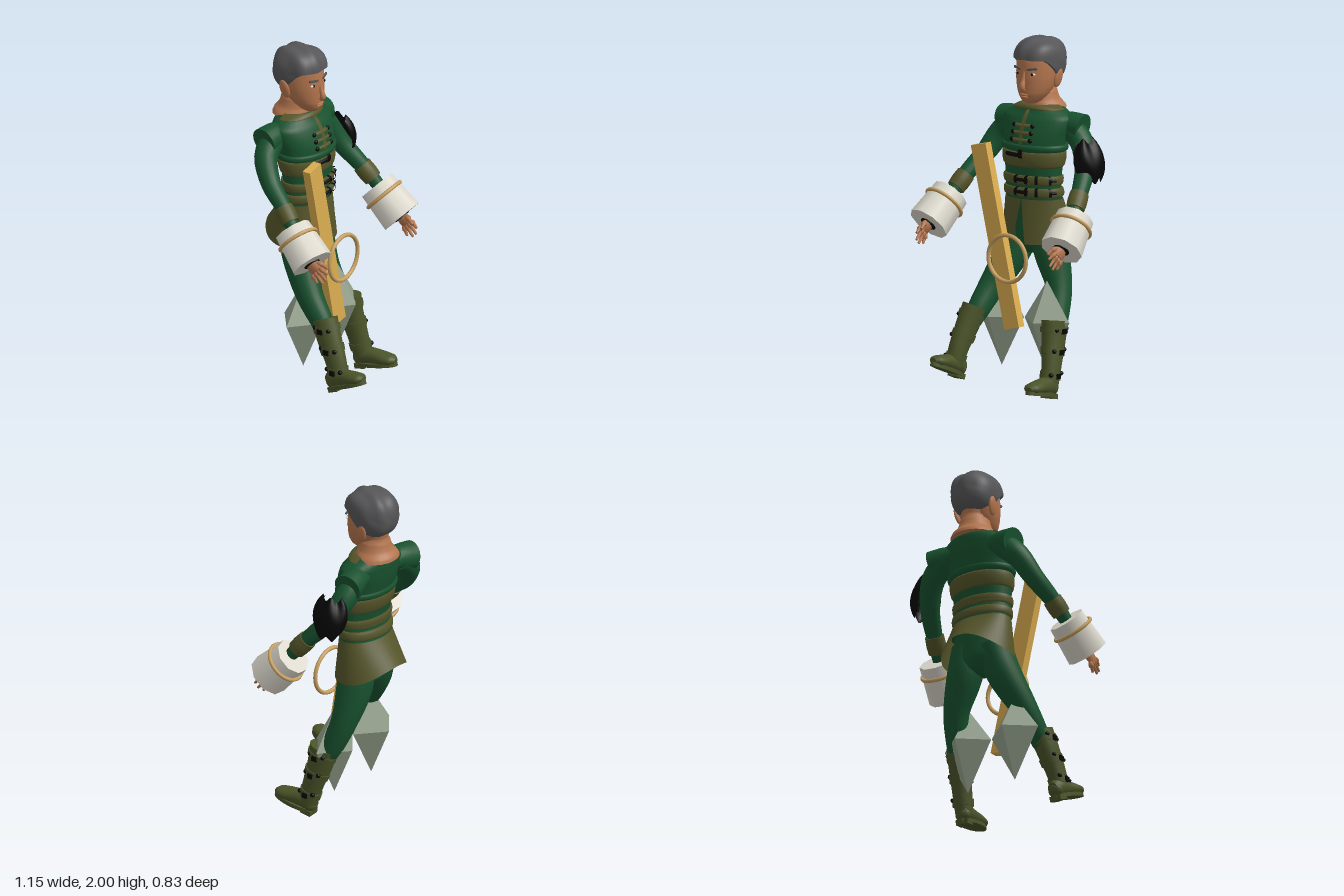
import * as THREE from 'three';
import { ParametricGeometry } from 'three/addons/geometries/ParametricGeometry.js';

const V = (x, y, z) => new THREE.Vector3(x, y, z);
const mat = (name, color, extra = {}) => Object.assign(new THREE.MeshStandardMaterial({ color, ...extra }), { name });
const two = { side: THREE.DoubleSide };

// Smooth tube through sections [x, y, z, rx, rz]; flat keeps the rings level.
function loft(secs, { n = 20, flat = false } = {}) {
  const P = new THREE.CatmullRomCurve3(secs.map(s => V(s[0], s[1], s[2])));
  const R = new THREE.CatmullRomCurve3(secs.map(s => V(s[3], s[4] ?? s[3], 0)));
  const steps = (secs.length - 1) * 4, pos = [], idx = [];
  for (let i = 0; i <= steps; i++) {
    const c = P.getPoint(i / steps), r = R.getPoint(i / steps);
    const t = flat ? V(0, 1, 0) : P.getTangent(i / steps);
    const u = V(1, 0, 0).addScaledVector(t, -t.x).normalize(), v = t.clone().cross(u);
    for (let j = 0; j < n; j++) {
      const a = (j / n) * Math.PI * 2;
      const p = c.clone().addScaledVector(u, Math.cos(a) * r.x).addScaledVector(v, Math.sin(a) * r.y);
      pos.push(p.x, p.y, p.z);
      if (i < steps) {
        const k = (j + 1) % n, A = i * n + j, B = i * n + k;
        idx.push(A, B, A + n, B, B + n, A + n);
      }
    }
  }
  // End caps with their own rim so the edge stays sharp.
  for (const end of [0, steps]) {
    const c = P.getPoint(end / steps), base = pos.length / 3;
    pos.push(c.x, c.y, c.z);
    for (let j = 0; j < n; j++) pos.push(...pos.slice((end * n + j) * 3, (end * n + j) * 3 + 3));
    for (let j = 0; j < n; j++) {
      const a = base + 1 + j, b = base + 1 + ((j + 1) % n);
      end ? idx.push(base, a, b) : idx.push(base, b, a);
    }
  }
  const g = new THREE.BufferGeometry();
  g.setAttribute('position', new THREE.Float32BufferAttribute(pos, 3));
  g.setIndex(idx);
  g.computeVertexNormals();
  return g;
}

// Level section from front z, back z and half width
const level = ([y, zf, zb, rx]) => [0.004, y, (zf + zb) / 2, rx, (zf - zb) / 2];

const TORSO = [[1.02, -.08, -.33, .18], [1.1, -.075, -.31, .178], [1.2, -.075, -.295, .178], [1.3, -.07, -.31, .185],
  [1.42, -.065, -.335, .2], [1.5, -.085, -.35, .22], [1.555, -.11, -.355, .225], [1.59, -.135, -.355, .18], [1.625, -.15, -.345, .11]];

function torsoAt(y) {
  let i = 0;
  while (i < TORSO.length - 2 && TORSO[i + 1][0] < y) i++;
  const a = TORSO[i], b = TORSO[i + 1], k = (y - a[0]) / (b[0] - a[0]);
  return level(a.map((q, m) => q + (b[m] - q) * k));
}

// Raised strip hugging the torso between two heights and two angles (0 = front)
const band = (y0, y1, a0, a1, off) => new ParametricGeometry((u, v, p) => {
  const y = y0 + (y1 - y0) * v, a = a0 + (a1 - a0) * u, s = torsoAt(y);
  const o = off * Math.pow(Math.max(0, Math.sin(Math.PI * v)), 0.35);
  p.set(s[0] + Math.sin(a) * (s[3] + o), y, s[2] + Math.cos(a) * (s[4] + o));
}, Math.max(4, Math.ceil((a1 - a0) * 8)), 8);

export function createModel() {
  const green = mat('green cloth', 0x18522f), olive = mat('olive leather', 0x55552a, two), boot = mat('boot leather', 0x4a5429);
  const skin = mat('skin', 0xb4754e), hair = mat('grey hair', 0x565658), black = mat('black', 0x060606, two);
  const white = mat('off white', 0xdedace), wood = mat('golden wood', 0xdcae52), tan = mat('tan ring', 0xc8a060), stone = mat('grey green stone', 0x94a08c, { flatShading: true });
  const root = new THREE.Group();
  const add = (name, geo, m, parent = root, x = 0, y = 0, z = 0) => {
    const o = new THREE.Mesh(geo, m);
    o.name = name;
    o.position.set(x, y, z);
    parent.add(o);
    return o;
  };
  const ball = (name, m, x, y, z, sx, sy, sz, parent = root) => {
    const o = add(name, new THREE.SphereGeometry(1, 14, 10), m, parent, x, y, z);
    o.scale.set(sx, sy, sz);
    return o;
  };
  const box = (name, m, x, y, z, w, h, d, parent = root) => add(name, new THREE.BoxGeometry(w, h, d), m, parent, x, y, z);

  // Torso, belts and collar
  add('torso', loft(TORSO.map(level), { n: 32, flat: true }), green);
  [[1.28, 1.37], [1.18, 1.235], [1.11, 1.165]].forEach(([a, b]) => add('belt', band(a, b, -Math.PI, Math.PI, .012), olive));
  add('jacketHem', band(1.37, 1.41, -Math.PI, Math.PI, .014), green);
  add('collar', band(1.598, 1.627, -1.7, 1.7, .012), olive);
  add('placket', band(1.4, 1.6, -.06, .06, .008), olive);
  for (const y of [1.435, 1.475, 1.515]) {
    add('clasp', band(y - .01, y + .01, -.32, .32, .01), olive);
    const s = torsoAt(y);
    for (const x of [-.06, .066]) ball('stud', black, x, y, s[2] + s[4] * .96 + .004, .014, .013, .01);
  }
  for (const y of [1.21, 1.14]) {
    add('beltStrap', band(y - .012, y + .012, -.2, .28, .022), black);
    for (const a of [-.2, .16, .5, .98]) add('buckle', band(y - .026, y + .026, a, a + .1, .024), black);
    add('beltTip', band(y - .01, y + .01, .98, 1.3, .02), black);
  }
  add('chestBuckle', band(1.335, 1.362, -.55, .1, .02), black);
  add('chestBuckle', band(1.328, 1.388, -.02, .12, .026), black);

  // Flared tunic skirt, split at the front
  add('skirt', new ParametricGeometry((u, v, p) => {
    const d = 1 - v, gap = .01 + .2 * d, a = gap + u * (2 * Math.PI - 2 * gap);
    const low = .85 + .1 * Math.pow((1 - Math.cos(a)) / 2, 4);
    p.set(.004 + Math.sin(a) * (.182 + .035 * d), 1.1 + (low - 1.1) * d, -.192 - .038 * d + Math.cos(a) * (.12 + .07 * d));
  }, 40, 8), olive);
  add('hips', loft([[.785, -.15, -.23, .03], [.81, -.11, -.28, .09], [.87, -.085, -.31, .16], [1.06, -.085, -.31, .172]].map(level), { flat: true }), green);

  // Neck and head
  add('neck', loft([[1.6, -.165, -.395, .135], [1.62, -.16, -.39, .125], [1.65, -.165, -.365, .1], [1.7, -.17, -.35, .085], [1.77, -.17, -.35, .085]].map(level), { flat: true }), skin);
  add('head', loft([[1.635, -.128, -.22, .035], [1.655, -.106, -.26, .06], [1.69, -.095, -.29, .086], [1.73, -.093, -.32, .103], [1.78, -.092, -.35, .114],
    [1.83, -.095, -.37, .118], [1.88, -.1, -.38, .118], [1.93, -.13, -.37, .1], [1.965, -.19, -.31, .045]].map(level), { n: 28, flat: true }), skin);
  add('nose', loft([[.004, 1.825, -.104, .01], [.004, 1.775, -.092, .012], [.004, 1.732, -.08, .018, .017], [.004, 1.712, -.092, .012]], { n: 12 }), skin);
  ball('upperLip', skin, .004, 1.688, -.097, .03, .007, .01);
  ball('lowerLip', skin, .004, 1.675, -.1, .026, .008, .01);
  for (const s of [-1, 1]) {
    const x = .004 + s * .05;
    ball('eye', white, x, 1.806, -.113, .02, .008, .01);
    ball('pupil', black, x, 1.806, -.106, .008, .008, .005);
    box('eyebrow', hair, x, 1.836, -.106, .06, .012, .009).rotation.set(0, s * .3, s * .12);
    ball('ear', skin, .004 + s * .117, 1.775, -.26, .014, .056, .032).rotation.set(-.2, 0, -s * .15);
  }

  // Wavy swept hair, cut along a hairline that drops toward the back
  const hairGeo = new THREE.SphereGeometry(1, 48, 32), hp = hairGeo.attributes.position;
  for (let i = 0; i < hp.count; i++) {
    const q = V().fromBufferAttribute(hp, i);
    const boxy = Math.pow(Math.abs(q.x) ** 2.5 + Math.abs(q.y) ** 2.5 + Math.abs(q.z) ** 2.5, -1 / 2.5);
    const k = boxy * (1 + .03 * Math.sin(q.x * 9 + q.z * 4) * (q.y > 0 ? 1 : .3));
    const z = -.243 + q.z * .152 * k;
    const line = 1.745 + .14 * THREE.MathUtils.smoothstep(z, -.32, -.13);
    hp.setXYZ(i, .006 + q.x * .129 * k, Math.min(2, Math.max(line, 1.865 + q.y * .135 * k)), z);
  }
  hairGeo.computeVertexNormals();
  add('hair', hairGeo, hair);

  // Arms, cuffs and the drum shaped gauntlets with hands
  const arms = [
    { s: 1, path: [[.19, 1.51, -.275, .072], [.285, 1.42, -.265, .067], [.35, 1.29, -.205, .057], [.395, 1.17, -.1, .047], [.43, 1.04, .01, .036]], c: [.44, .97, .06], d: [.1, -.7, .7] },
    { s: -1, path: [[-.19, 1.51, -.275, .072], [-.288, 1.42, -.26, .067], [-.345, 1.3, -.185, .057], [-.385, 1.2, -.07, .047], [-.42, 1.08, .04, .036]], c: [-.44, 1.02, .1], d: [-.15, -.68, .72] },
  ];
  for (const { s, path, c, d } of arms) {
    add('arm', loft(path), green);
    add('shoulderCap', loft([[s * .13, 1.52, -.27, .06], [s * .2, 1.515, -.275, .074], [s * .275, 1.5, -.285, .082]]), green);
    const [w, e] = [path[3], path[4]], at = k => w.slice(0, 3).map((q, m) => q + (e[m] - q) * k);
    add('cuff', loft([[...at(.02), .054], [...at(.3), .056], [...at(.6), .052]]), olive);
    const g = new THREE.Group();
    g.name = 'gauntlet';
    g.position.set(...c);
    g.quaternion.setFromUnitVectors(V(0, -1, 0), V(...d).normalize());
    root.add(g);
    add('gauntletDrum', new THREE.CylinderGeometry(.107, .123, .225, 9), white, g);
    add('gauntletRing', new THREE.TorusGeometry(.114, .011, 8, 32), tan, g, 0, .045, 0).rotation.x = Math.PI / 2;
    add('gauntletOpening', new THREE.CylinderGeometry(.048, .048, .006, 16), black, g, 0, -.114, 0);
    add('palm', loft([[0, -.1, 0, .026, .034], [0, -.14, 0, .022, .04], [0, -.165, 0, .015, .036]], { n: 12 }), skin, g);
    for (let i = 0; i < 4; i++) {
      const z = -.03 + i * .02, l = i === 0 || i === 3 ? .215 : .24;
      add('finger', loft([[0, -.155, z, .01], [-s * .006, -.19, z * 1.4, .01], [-s * .014, -l, z * 1.6, .007]], { n: 8 }), skin, g);
    }
    add('thumb', loft([[0, -.12, .03, .011], [-s * .02, -.155, .05, .011], [-s * .03, -.185, .055, .008]], { n: 8 }), skin, g);
  }

  // Curved guard on the left upper arm
  add('armGuard', new ParametricGeometry((u, v, p) => {
    const a = (u - .5) * 3.5, k = Math.sqrt(Math.sin(Math.PI * (.1 + .8 * v)));
    p.set(.375 - .045 * v + .085 * k * Math.cos(a), 1.225 + .225 * v + .015 * Math.sin(a * 5), -.23 - .11 * k * Math.sin(a));
  }, 24, 10), black);

  // Legs and buckled boots
  const legs = [
    { s: 1, leg: [[.085, .95, -.2, .095, .11], [.115, .8, -.205, .098, .105], [.185, .6, -.185, .072, .076], [.22, .44, -.125, .06, .066], [.24, .34, -.075, .05]],
      shaft: [[.232, .43, -.082, .07, .09], [.242, .33, -.062, .062, .078], [.257, .2, -.025, .053, .064], [.265, .07, .01, .048, .056]], foot: [.265, .02, .03], pitch: -.18, yaw: .1 },
    { s: -1, leg: [[-.085, .95, -.2, .095, .11], [-.11, .8, -.16, .098, .105], [-.175, .6, -.045, .075, .08], [-.2, .46, .065, .06, .065], [-.21, .4, .1, .05]],
      shaft: [[-.203, .49, .085, .068, .076], [-.22, .39, .127, .062, .075], [-.236, .27, .185, .053, .064], [-.247, .165, .22, .047, .055]], foot: [-.247, .115, .22], pitch: -.38, yaw: -.06 },
  ];
  for (const { s, leg, shaft, foot, pitch, yaw } of legs) {
    add('leg', loft(leg, { n: 24 }), green);
    add('bootShaft', loft(shaft), boot);
    for (let i = 0; i < 3; i++) {
      const [a, b] = [shaft[i], shaft[i + 1]], mix = k => a.map((q, m) => q + (b[m] - q) * k);
      const lo = mix(.35), hi = mix(.65), mid = mix(.5), r = q => [q[0], q[1], q[2], q[3] + .006, q[4] + .006];
      add('bootStrap', loft([r(lo), r(mid), r(hi)]), boot);
      box('bootBuckle', black, mid[0] + s * (mid[3] + .006), mid[1], mid[2], .014, .028, .032);
      for (const z of [-.045, .045]) ball('bootStud', black, mid[0] + s * mid[3] * .78, mid[1] + .01, mid[2] + z, .014, .013, .014);
    }
    const g = new THREE.Group();
    g.name = 'foot';
    g.position.set(...foot);
    g.rotation.set(pitch, yaw, 0, 'YXZ');
    root.add(g);
    add('footUpper', loft([[0, .055, -.055, .034, .04], [0, .062, -.01, .048, .055], [0, .056, .06, .047, .048], [0, .045, .13, .053, .037], [0, .038, .175, .046, .029], [0, .032, .2, .02, .014]]), boot, g);
    add('sole', new THREE.CylinderGeometry(1, 1, .022, 24), boot, g, 0, .014, .07).scale.set(.052, 1, .135);
    box('heel', boot, 0, .005, -.025, .075, .03, .065, g);
    ball('heelCounter', boot, 0, .05, -.03, .046, .045, .04, g);
  }

  // Pointed stones at the knees
  for (const s of [-1, 1]) {
    const o = add('pointedStone', new THREE.LatheGeometry([[0, .135], [.158, .425], [0, .65]].map(p => new THREE.Vector2(...p)), 4), stone, root, .005 + s * .16, 0, -.1);
    o.scale.z = .82;
  }

  // Leaning plank and hoop in front
  box('plank', wood, -.102, .89, .007, .106, 1.05, .05).rotation.z = Math.atan2(45, 194);
  add('hoop', new THREE.TorusGeometry(.133, .012, 10, 40), tan, root, .008, .78, .06);
  return root;
}
